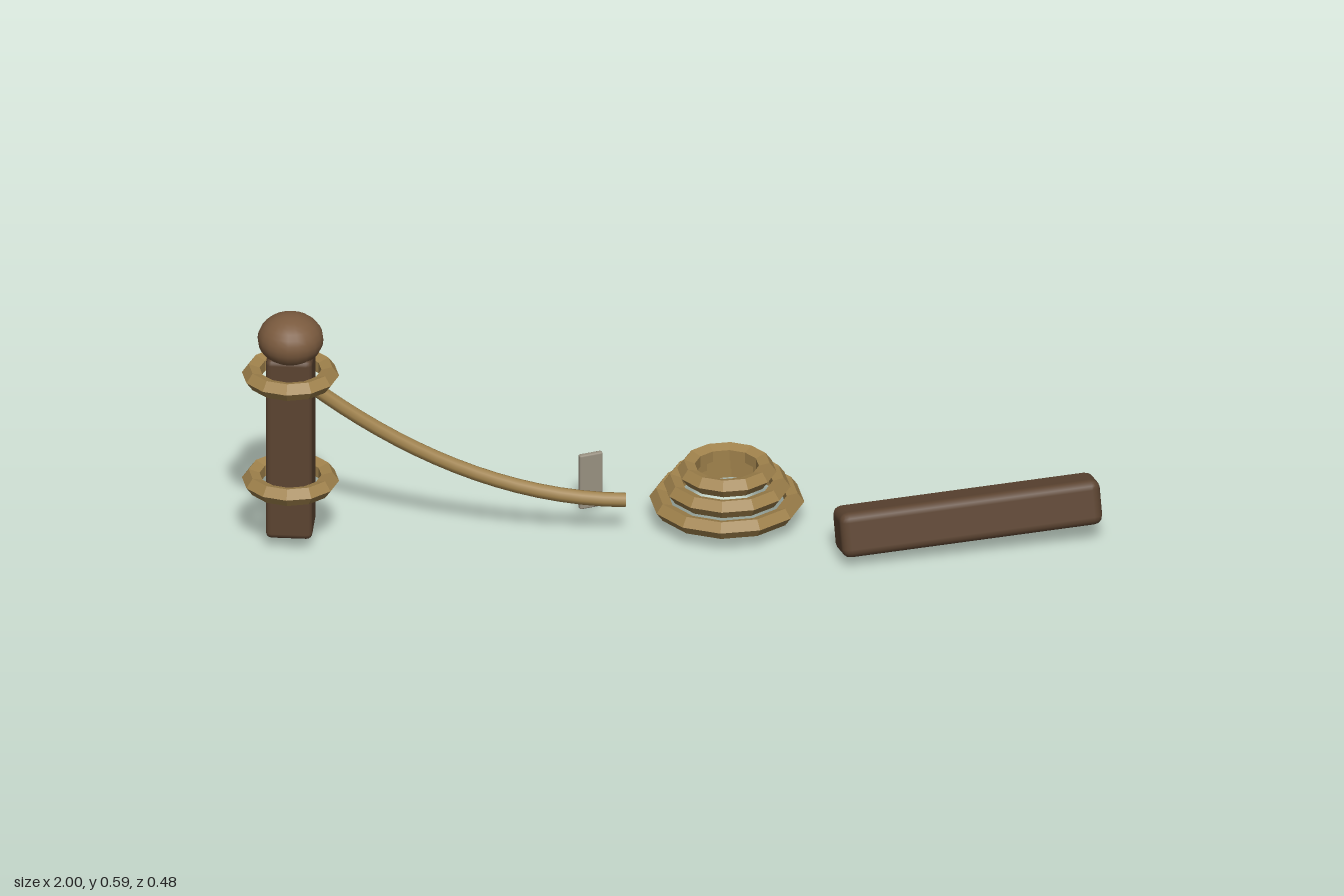
import * as THREE from 'three';
import { RoundedBoxGeometry } from 'three/addons/geometries/RoundedBoxGeometry.js';

const material = (name, color) => {
  const m = new THREE.MeshStandardMaterial({ color });
  m.name = name;
  return m;
};

// Faceted normals
const faceted = (geometry) => {
  const g = geometry.index ? geometry.toNonIndexed() : geometry;
  g.computeVertexNormals();
  return g;
};

export function createModel() {
  const darkWood = material('darkWood', 0x5c4431);
  const capWood = material('capWood', 0x7a5a3e);
  const ropeTan = material('ropeTan', 0xa0824c);
  const paleStone = material('paleStone', 0x9a9282);

  const model = new THREE.Group();
  model.name = 'mooringSet';

  const add = (parent, name, geometry, mat, x, y, z) => {
    const mesh = new THREE.Mesh(geometry, mat);
    mesh.name = name;
    mesh.position.set(x, y, z);
    parent.add(mesh);
    return mesh;
  };

  // Low-poly rope ring lying flat, sized by its outer radius
  const tube = 0.0228;
  const addRing = (parent, name, outer, y) => {
    const g = new THREE.TorusGeometry(outer - tube, tube, 5, 12).rotateX(Math.PI / 2);
    add(parent, name, faceted(g), ropeTan, 0, y, 0);
  };

  // Mooring post with rounded cap and two rope bands
  const post = new THREE.Group();
  post.name = 'mooringPost';
  post.position.set(-0.887, 0, 0.127);
  model.add(post);
  add(post, 'postShaft', new RoundedBoxGeometry(0.109, 0.465, 0.109, 2, 0.014), darkWood, 0, 0.262, 0);
  add(post, 'postCap', new THREE.SphereGeometry(0.077, 20, 14).scale(1, 0.8, 1), capWood, 0, 0.528, 0);
  addRing(post, 'lowerBand', 0.1135, 0.162);
  addRing(post, 'upperBand', 0.1135, 0.436);

  // Sagging rope running down from the post
  const sag = new THREE.QuadraticBezierCurve3(
    new THREE.Vector3(-0.85, 0.41, 0.117),
    new THREE.Vector3(-0.48, 0.1, 0.073),
    new THREE.Vector3(-0.112, 0.09, 0.03)
  );
  add(model, 'hangingRope', new THREE.TubeGeometry(sag, 16, 0.0175, 8), ropeTan, 0, 0, 0);
  const end = sag.getPoint(1);
  const ropeEnd = add(model, 'ropeEnd', new THREE.CircleGeometry(0.0175, 8), ropeTan, end.x, end.y, end.z);
  ropeEnd.lookAt(end.clone().add(sag.getTangent(1)));

  // Stacked rope coil, each turn smaller than the one below
  const coil = new THREE.Group();
  coil.name = 'ropeCoil';
  coil.position.set(0.117, 0, -0.06);
  model.add(coil);
  for (let i = 0; i < 3; i++) {
    addRing(coil, `coilTurn${i + 1}`, 0.181 - i * 0.0325, 0.057 + i * 0.038);
  }

  // Thin upright marker
  const marker = add(model, 'marker', new RoundedBoxGeometry(0.058, 0.14, 0.014, 1, 0.004), paleStone, -0.205, 0.071, -0.104);
  marker.rotation.y = 0.47;

  // Fallen timber, slightly tilted and rolled
  const timber = add(model, 'fallenTimber', new RoundedBoxGeometry(0.622, 0.109, 0.109, 2, 0.022), darkWood, 0.687, 0.084, 0.031);
  timber.rotation.set(-0.22, 0.297, 0.04, 'YZX');

  return model;
}
